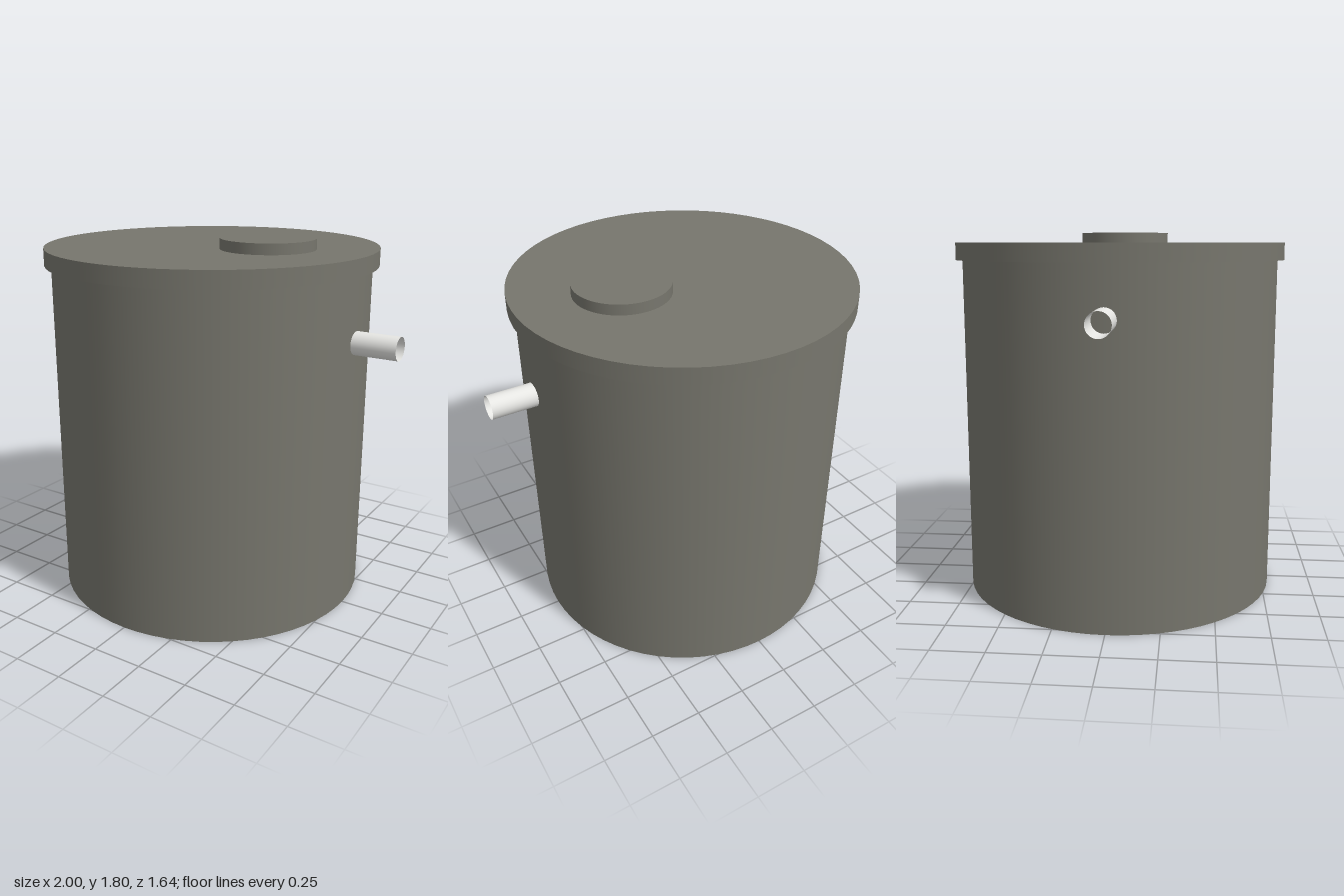
import * as THREE from 'three';

export function createModel() {
  const model = new THREE.Group();
  model.name = 'tank';

  const concrete = new THREE.MeshStandardMaterial({ color: 0x77766d });
  concrete.name = 'grey concrete';
  const plastic = new THREE.MeshStandardMaterial({ color: 0xe6e6e3, side: THREE.DoubleSide });
  plastic.name = 'white plastic';

  // Upright round slab from y0 to y1
  function drum(name, radius, y0, y1, x = 0) {
    const mesh = new THREE.Mesh(new THREE.CylinderGeometry(radius, radius, y1 - y0, 64), concrete);
    mesh.name = name;
    mesh.position.set(x, (y0 + y1) / 2, 0);
    model.add(mesh);
  }

  drum('base', 0.786, 0, 0.085);
  drum('wall', 0.786, 0.085, 1.665);
  drum('lid', 0.818, 1.665, 1.748);
  drum('hatch', 0.23, 1.748, 1.8, 0.315);

  // Open pipe stubs running out sideways through the wall
  function pipe(name, side, y) {
    const inner = 0.75, outer = 1;
    const geometry = new THREE.CylinderGeometry(0.056, 0.056, outer - inner, 32, 1, true);
    geometry.rotateZ(Math.PI / 2);
    const mesh = new THREE.Mesh(geometry, plastic);
    mesh.name = name;
    mesh.position.set(side * (inner + outer) / 2, y, 0);
    model.add(mesh);
  }

  pipe('inletPipe', -1, 1.424);
  pipe('outletPipe', 1, 1.35);

  return model;
}
